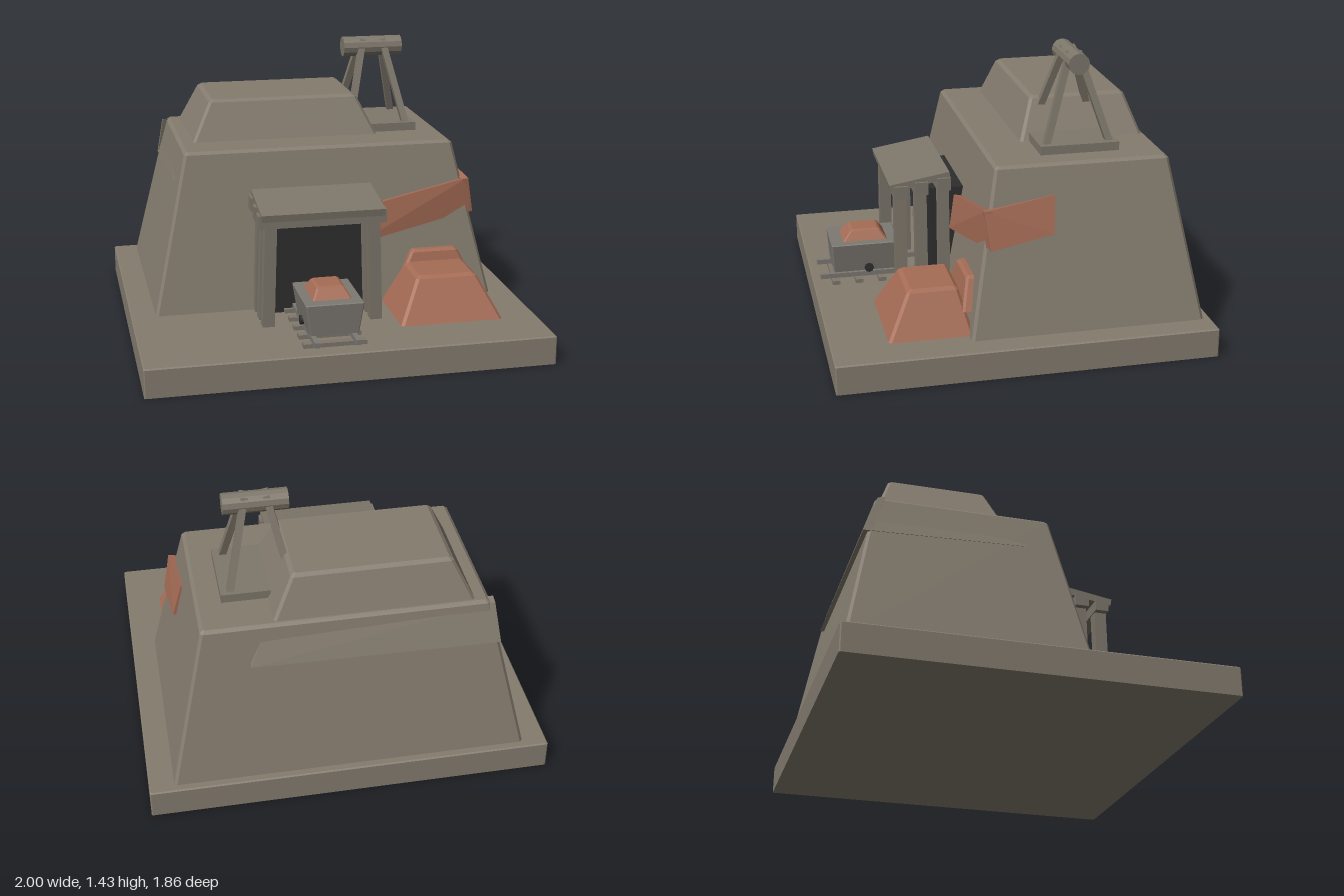
import * as THREE from 'three';
import { ConvexGeometry } from 'three/addons/geometries/ConvexGeometry.js';

const material = (name, color) => {
  const m = new THREE.MeshStandardMaterial({ color });
  m.name = name;
  return m;
};

export function createModel() {
  const model = new THREE.Group();
  model.name = 'mine';
  const stone = material('stone', 0x857c6f);
  const timber = material('timber', 0x7e776b);
  const iron = material('iron', 0x7d7972);
  const ore = material('ore', 0xa56c55);
  const dark = material('dark', 0x2e2e2e);

  const add = (name, geometry, mat, parent = model) => {
    const mesh = new THREE.Mesh(geometry, mat);
    mesh.name = name;
    parent.add(mesh);
    return mesh;
  };
  const group = (name) => {
    const g = new THREE.Group();
    g.name = name;
    model.add(g);
    return g;
  };

  // Box given by its limits
  const box = (name, x0, x1, y0, y1, z0, z1, mat, parent) => {
    const mesh = add(name, new THREE.BoxGeometry(x1 - x0, y1 - y0, z1 - z0), mat, parent);
    mesh.position.set((x0 + x1) / 2, (y0 + y1) / 2, (z0 + z1) / 2);
    return mesh;
  };

  // Rectangle [x0, x1, z0, z1] at height y with corners cut by c
  const ring = (y, [x0, x1, z0, z1], c) => {
    const pts = [];
    for (const [x, sx] of [[x0, 1], [x1, -1]]) {
      for (const [z, sz] of [[z0, 1], [z1, -1]]) {
        pts.push(new THREE.Vector3(x + sx * c, y, z), new THREE.Vector3(x, y, z + sz * c));
      }
    }
    return pts;
  };

  // Tapered block with chamfered corners and upper rim
  const mound = (name, y0, bottom, y1, top, c, mat, parent) => {
    const rim = top.map((v, i) => v + (i % 2 ? -c : c));
    const shoulder = top.map((v, i) => v + (bottom[i] - v) * (c / (y1 - y0)));
    return add(name, new ConvexGeometry([
      ...ring(y0, bottom, c), ...ring(y1 - c, shoulder, c), ...ring(y1, rim, c * 0.5),
    ]), mat, parent);
  };

  // Flat band from four outer corners, thickened by an inward offset
  const band = (name, corners, inward, mat) => {
    const offset = new THREE.Vector3(...inward);
    const outer = corners.map((p) => new THREE.Vector3(...p));
    return add(name, new ConvexGeometry([...outer, ...outer.map((p) => p.clone().add(offset))]), mat);
  };

  // Square bar between two points
  const bar = (name, a, b, size, mat, parent) => {
    const from = new THREE.Vector3(...a);
    const to = new THREE.Vector3(...b);
    const dir = to.clone().sub(from);
    const mesh = add(name, new THREE.BoxGeometry(size, dir.length(), size), mat, parent);
    mesh.position.copy(from).add(to).multiplyScalar(0.5);
    mesh.quaternion.setFromUnitVectors(new THREE.Vector3(0, 1, 0), dir.normalize());
    return mesh;
  };

  // Ground slab and the two rock tiers
  mound('base', 0, [-1, 1, -0.93, 0.93], 0.145, [-1, 1, -0.93, 0.93], 0.006, stone);
  mound('lowerRock', 0.14, [-0.878, 0.878, -0.893, 0.267], 0.945, [-0.695, 0.695, -0.74, 0.115], 0.014, stone);
  mound('upperRock', 0.94, [-0.628, 0.35, -0.72, -0.09], 1.15, [-0.525, 0.247, -0.645, -0.165], 0.014, stone);

  // Ore seam wrapping the front corner
  band('frontSeam', [[0.165, 0.63, 0.215], [0.77, 0.755, 0.18], [0.785, 0.575, 0.175], [0.165, 0.45, 0.24]],
    [0, -0.005, -0.035], ore);
  band('sideSeam', [[0.77, 0.752, 0.185], [0.805, 0.565, 0.16], [0.785, 0.62, -0.155], [0.737, 0.8, -0.165]],
    [-0.035, -0.005, 0], ore);

  // Rock ledges at the back and on the right flank
  band('backLedge', [[0.47, 0.75, -0.8], [0.42, 0.86, -0.757], [-0.72, 0.93, -0.737], [-0.745, 0.735, -0.803]],
    [0, 0.01, 0.04], stone);
  band('sideLedge', [[-0.746, 0.735, -0.8], [-0.738, 0.765, -0.01], [-0.715, 0.82, -0.01], [-0.7, 0.9, -0.74]],
    [0.03, 0, 0], stone);

  // Tunnel mouth
  const portal = group('portal');
  const cx = -0.075;
  box('tunnel', cx - 0.255, cx + 0.255, 0.14, 0.675, 0.1, 0.335, dark, portal);
  [0.275, 0.39, 0.495].forEach((z, i) => {
    const top = 0.685 - i * 0.015;
    for (const s of [-1, 1]) {
      bar('post', [cx + s * 0.273, 0.14, z], [cx + s * 0.257, top, z], 0.06, timber, portal);
    }
    box('crossBeam', cx - 0.32, cx + 0.32, top - 0.005, top + 0.062, z - 0.034, z + 0.034, timber, portal);
  });
  const roof = box('roof', cx - 0.307, cx + 0.307, 0.712, 0.748, 0.24, 0.55, timber, portal);
  roof.position.y = 0.732;
  roof.rotation.x = 0.165;

  // Track
  const track = group('track');
  for (let i = 0; i < 5; i++) {
    const z = 0.815 - i * 0.12;
    box('sleeper', -0.235, 0.075, 0.14, 0.166, z - 0.02, z + 0.02, timber, track);
  }
  for (const x of [-0.18, 0.02]) box('rail', x - 0.012, x + 0.012, 0.165, 0.19, 0.3, 0.89, iron, track);

  // Ore cart
  const cart = group('cart');
  mound('cartBody', 0.2, [-0.198, 0.038, 0.49, 0.82], 0.355, [-0.222, 0.062, 0.48, 0.83], 0.004, iron, cart);
  mound('cartLoad', 0.35, [-0.178, 0.018, 0.535, 0.77], 0.408, [-0.145, -0.015, 0.575, 0.72], 0.008, ore, cart);
  const axle = add('axle', new THREE.CylinderGeometry(0.024, 0.024, 0.27, 8), dark, cart);
  axle.rotation.z = Math.PI / 2;
  axle.position.set(-0.08, 0.217, 0.64);

  // Ore heap beside the entrance
  mound('oreHeap', 0.14, [0.293, 0.818, 0.24, 0.657], 0.36, [0.405, 0.705, 0.3, 0.54], 0.014, ore);
  mound('oreLump', 0.25, [0.38, 0.77, 0.15, 0.29], 0.402, [0.455, 0.695, 0.16, 0.255], 0.012, ore);

  // Winch on the upper ledge
  const winch = group('winch');
  box('winchBase', 0.33, 0.572, 0.94, 0.988, -0.53, -0.137, timber, winch);
  for (const sx of [-1, 1]) {
    for (const sz of [-1, 1]) {
      bar('winchLeg', [0.372 + sx * 0.155, 0.965, -0.333 + sz * 0.162],
        [0.372 + sx * 0.052, 1.412, -0.333 + sz * 0.02], 0.034, timber, winch);
    }
  }
  const drum = add('drum', new THREE.CylinderGeometry(0.053, 0.053, 0.316, 12).toNonIndexed(), timber, winch);
  drum.geometry.computeVertexNormals();
  drum.rotation.z = Math.PI / 2;
  drum.position.set(0.372, 1.374, -0.333);

  return model;
}
